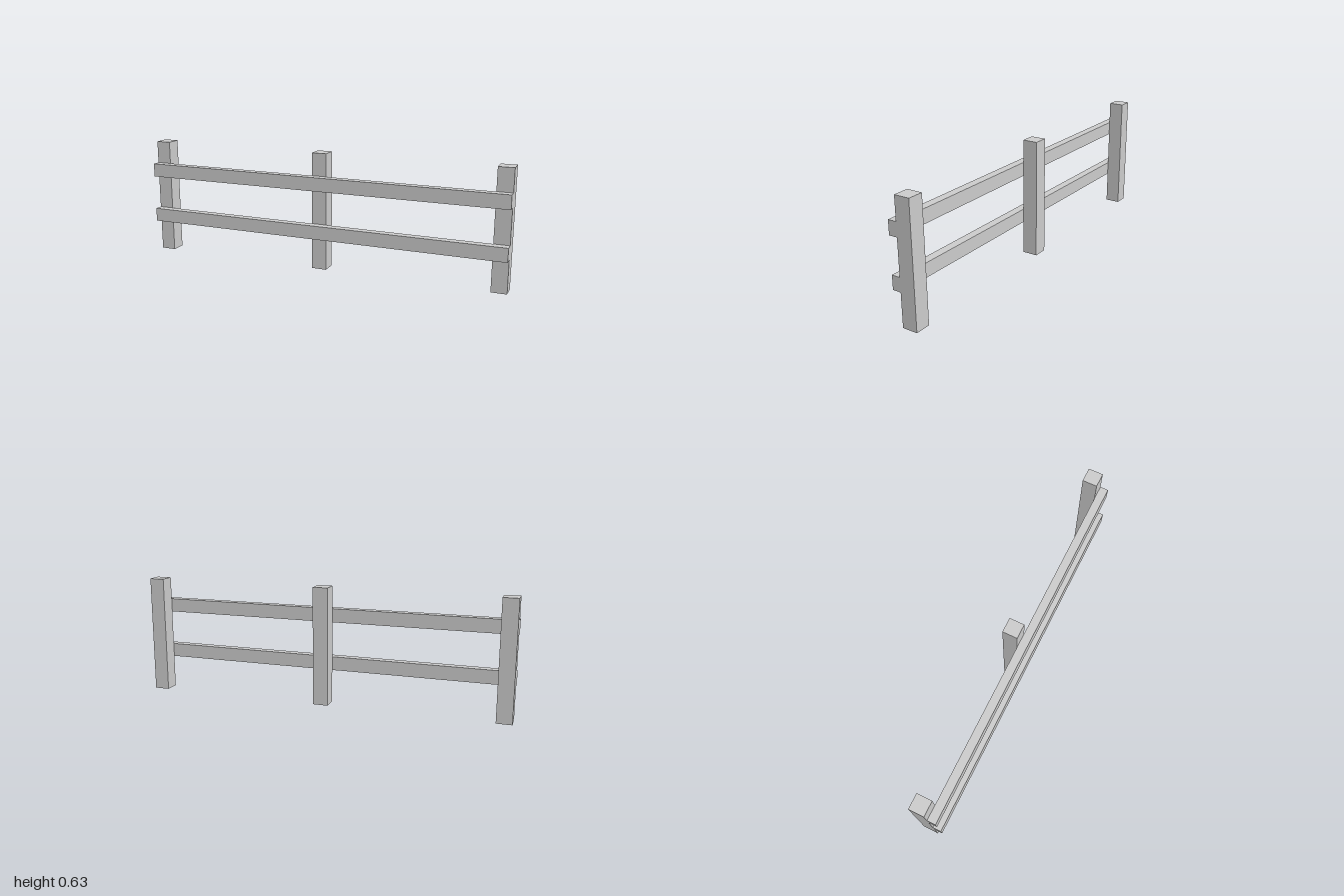
import * as THREE from 'three';

export function createModel() {
  const group = new THREE.Group();
  const material = new THREE.MeshStandardMaterial({ color: 0xcccccc, flatShading: true });

  const HALF_DEPTH = 0.063;
  const POST = 0.081, POST_HEIGHT = 0.631;
  const RAIL_HEIGHT = 0.073, RAIL_DEPTH = 2 * HALF_DEPTH - POST;

  function addBox(name, w, h, d, x, y, z) {
    const mesh = new THREE.Mesh(new THREE.BoxGeometry(w, h, d), material);
    mesh.name = name;
    mesh.position.set(x, y, z);
    group.add(mesh);
  }

  // Three square posts standing behind the rails
  const postX = 1 - POST / 2;
  [['rightPost', -postX], ['middlePost', 0], ['leftPost', postX]].forEach(([name, x]) =>
    addBox(name, POST, POST_HEIGHT, POST, x, POST_HEIGHT / 2, -HALF_DEPTH + POST / 2));

  // Two full-length rails fixed to the front of the posts
  [['lowerRail', 0.2125], ['upperRail', 0.473]].forEach(([name, y]) =>
    addBox(name, 2, RAIL_HEIGHT, RAIL_DEPTH, 0, y, HALF_DEPTH - RAIL_DEPTH / 2));

  return group;
}
